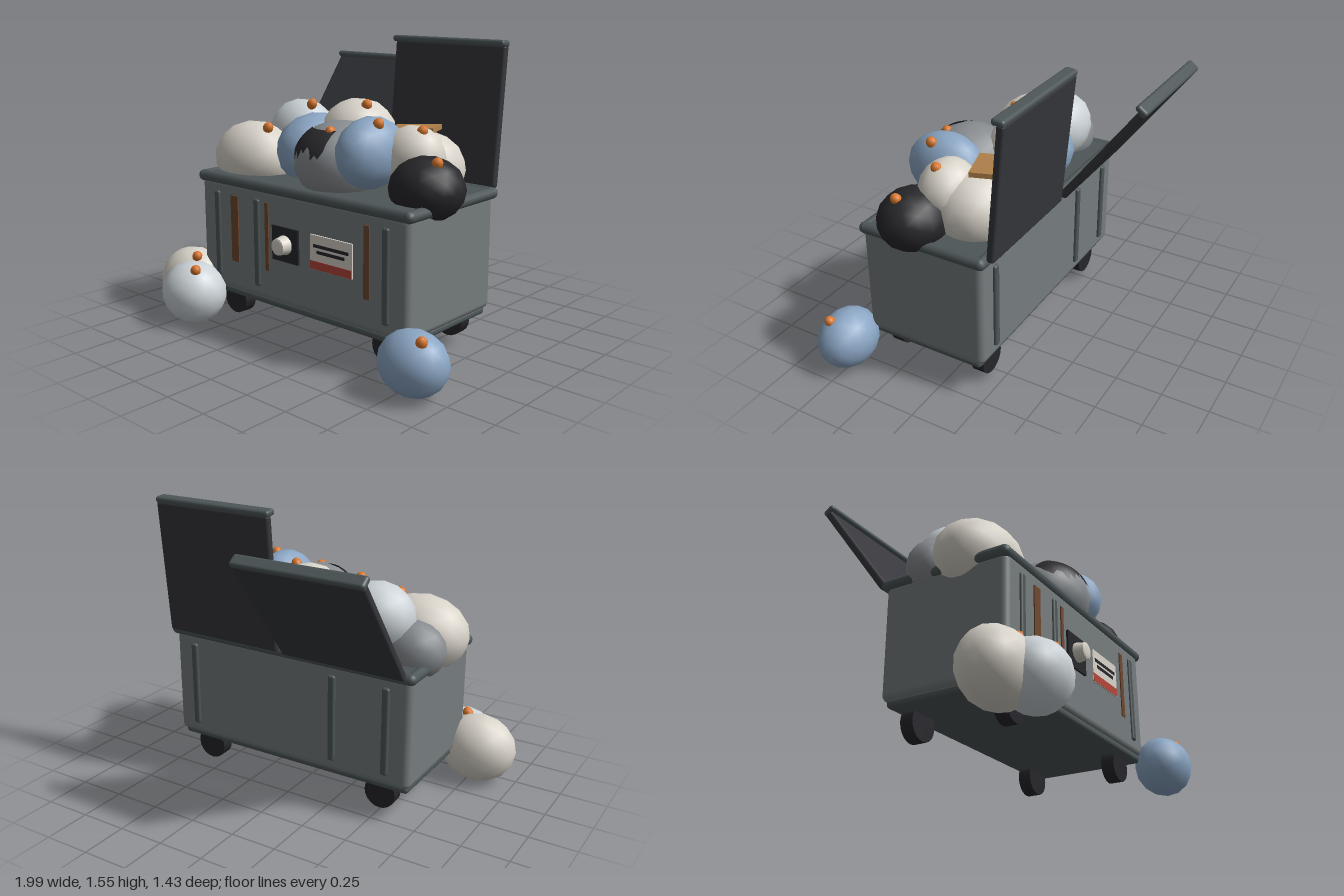
import * as THREE from 'three';
import { RoundedBoxGeometry } from 'three/addons/geometries/RoundedBoxGeometry.js';
import { ParametricGeometry } from 'three/addons/geometries/ParametricGeometry.js';

const mat = (color, side = THREE.FrontSide) => new THREE.MeshStandardMaterial({ color, side });
const M = {
  steel: mat(0x767c7e), trim: mat(0x4d5658), lid: mat(0x36373c), rubber: mat(0x26262b),
  rust: mat(0x70482f), plate: mat(0x25272a), cream: mat(0xd9d4ca), pale: mat(0xccd3d7),
  blue: mat(0x8aa5c3), grey: mat(0x888c90), black: mat(0x27272b), orange: mat(0xd9772b),
  card: mat(0xb0804a), red: mat(0xb5463a), tar: mat(0x2a2a2e, THREE.DoubleSide),
};

export function createModel() {
  const root = new THREE.Group();

  const add = (name, geo, material, x, y, z, parent = root) => {
    const mesh = new THREE.Mesh(geo, material);
    mesh.name = name;
    mesh.position.set(x, y, z);
    parent.add(mesh);
    return mesh;
  };
  const box = (name, w, h, d, material, x, y, z, parent) =>
    add(name, new THREE.BoxGeometry(w, h, d), material, x, y, z, parent);
  const round = (name, w, h, d, r, material, x, y, z, parent) =>
    add(name, new RoundedBoxGeometry(w, h, d, 3, r), material, x, y, z, parent);

  // Container body, bottom tray and top deck
  const cx = 0.013, cz = 0.1;
  round('body', 1.43, 0.6, 0.685, 0.035, M.steel, cx, 0.505, cz);
  round('bottomTray', 1.4, 0.042, 0.65, 0.018, M.trim, cx, 0.195, 0.108);
  round('topDeck', 1.44, 0.05, 0.68, 0.02, M.trim, cx, 0.803, cz);

  // Rounded rim bars
  for (const z of [0.425, -0.235]) {
    const bar = add('rimLongBar', new THREE.CapsuleGeometry(0.03, 1.415, 6, 12), M.trim, cx, 0.805, z);
    bar.rotation.z = Math.PI / 2;
  }
  for (const s of [-1, 1]) {
    const bar = add('rimShortBar', new THREE.CapsuleGeometry(0.03, 0.66, 6, 12), M.trim, cx + s * 0.707, 0.805, cz - 0.003);
    bar.rotation.x = Math.PI / 2;
  }

  // Pressed ribs on the front and back
  for (const x of [-0.57, -0.265, 0.6])
    for (const z of [0.438, -0.241])
      round('rib', 0.04, 0.47, 0.034, 0.012, M.trim, x, 0.505, z);

  // Rust streaks on the front
  for (const [x, w] of [[-0.435, 0.055], [-0.19, 0.025], [0.485, 0.035]])
    box('rustStreak', w, 0.36, 0.012, M.rust, x, 0.55, 0.442);

  // Knob on a dark plate
  box('knobPlate', 0.185, 0.18, 0.02, M.plate, -0.052, 0.535, 0.443);
  const knob = add('knob', new THREE.CylinderGeometry(0.043, 0.052, 0.06, 14), M.cream, -0.052, 0.535, 0.475);
  knob.rotation.x = Math.PI / 2;
  add('knobCap', new THREE.SphereGeometry(0.043, 14, 8), M.cream, -0.052, 0.535, 0.503).scale.z = 0.2;

  // Notice panel with plain bars
  box('noticePanel', 0.275, 0.175, 0.016, M.cream, 0.262, 0.538, 0.444);
  box('noticeRedStrip', 0.27, 0.042, 0.01, M.red, 0.262, 0.473, 0.449);
  box('noticeBar', 0.23, 0.016, 0.01, M.black, 0.262, 0.572, 0.45);
  box('noticeBar', 0.18, 0.016, 0.01, M.black, 0.262, 0.542, 0.45);

  // Wheels
  for (const x of [-0.52, 0.553])
    for (const z of [0.345, -0.155]) {
      const wheel = add('wheel', new THREE.CylinderGeometry(0.086, 0.086, 0.07, 20), M.rubber, x, 0.13, z);
      wheel.rotation.x = Math.PI / 2;
    }

  // Open lids, pivoting on the rear edge
  for (const [name, x, angle, length] of [['rightLid', -0.345, 0.636, 0.69], ['leftLid', 0.372, 0.088, 0.71]]) {
    const lid = new THREE.Group();
    lid.name = name;
    lid.position.set(x, 0.825, -0.28);
    lid.rotation.x = -angle;
    round('lidPanel', 0.685, length, 0.042, 0.014, M.lid, 0, length / 2 - 0.005, 0, lid);
    round('lidLip', 0.695, 0.034, 0.068, 0.015, M.trim, 0, length + 0.003, 0.012, lid);
    root.add(lid);
  }

  // Rubbish bags: material, centre, radii, turn about y, knot position
  const bags = [
    ['cream', [-0.54, 0.89, 0.19], [0.26, 0.2, 0.2], -0.1, [-0.4, 1.07, 0.225]],
    ['pale', [-0.41, 1.02, -0.05], [0.2, 0.18, 0.168], 0, [-0.29, 1.185, 0]],
    ['cream', [-0.015, 1.055, -0.07], [0.2, 0.18, 0.205], 0.3, [0.08, 1.21, -0.025]],
    ['grey', [0.1, 0.95, 0.2], [0.235, 0.21, 0.24], 0, [0.14, 1.115, 0.315]],
    ['blue', [0.31, 1.02, 0.21], [0.147, 0.18, 0.212], 0, [0.385, 1.17, 0.245]],
    ['cream', [0.48, 1, 0.09], [0.165, 0.16, 0.145], 0, [0.545, 1.135, 0.11]],
    ['cream', [0.45, 0.92, -0.04], [0.2, 0.19, 0.212], 0],
    ['black', [0.638, 0.885, 0.19], [0.19, 0.157, 0.178], 0, [0.72, 1.02, 0.225]],
    ['blue', [-0.22, 0.95, 0.03], [0.2, 0.2, 0.25], 0],
    ['grey', [-0.6, 0.87, -0.02], [0.17, 0.15, 0.135], 0],
    ['cream', [-0.79, 0.192, 0.445], [0.21, 0.187, 0.168], 0, [-0.7, 0.355, 0.495]],
    ['pale', [-0.66, 0.178, 0.555], [0.187, 0.17, 0.167], 0, [-0.58, 0.325, 0.605]],
    ['blue', [0.822, 0.17, 0.515], [0.178, 0.157, 0.147], 0, [0.9, 0.3, 0.56]],
  ];
  const bagGeo = new THREE.IcosahedronGeometry(1, 2);
  const knotGeo = new THREE.IcosahedronGeometry(0.028, 1);
  for (const [material, centre, radii, turn, knotAt] of bags) {
    const bag = add('rubbishBag', bagGeo, M[material], ...centre);
    bag.scale.set(...radii);
    bag.rotation.y = turn;
    if (!knotAt) continue;
    // Knot leans outward from the bag centre
    const knot = add('bagKnot', knotGeo, M.orange, ...knotAt);
    const out = new THREE.Vector3(...knotAt).sub(bag.position).normalize();
    knot.quaternion.setFromUnitVectors(new THREE.Vector3(0, 1, 0), out);
    knot.scale.y = 1.2;
  }

  // Dark spill with a ragged lower edge, lying on the grey bag
  const edge = [0.36, 0.2, 0.34, 0.3, 0.1, 0.3, 0.16, 0.38, 0.3, 0.45, 0.4, 0.18, 0.3, 0.22, 0.4];
  const spill = (u, v, target) => {
    const nx = THREE.MathUtils.lerp(-0.85, 0.32, u);
    const top = Math.min(0.82, 0.93 * Math.sqrt(1 - nx * nx));
    const ny = THREE.MathUtils.lerp(edge[Math.round(u * 14)], top, v);
    const nz = Math.sqrt(Math.max(0, 1 - nx * nx - ny * ny));
    target.set(nx * 0.235, ny * 0.21, nz * 0.24).multiplyScalar(1.015);
  };
  add('tarSpill', new ParametricGeometry(spill, 14, 8), M.tar, 0.1, 0.95, 0.2);

  // Scrap of cardboard among the bags
  const scrap = box('cardboardScrap', 0.24, 0.025, 0.15, M.card, 0.36, 1.11, -0.07);
  scrap.rotation.set(0, 0.33, 0.06);

  return root;
}
